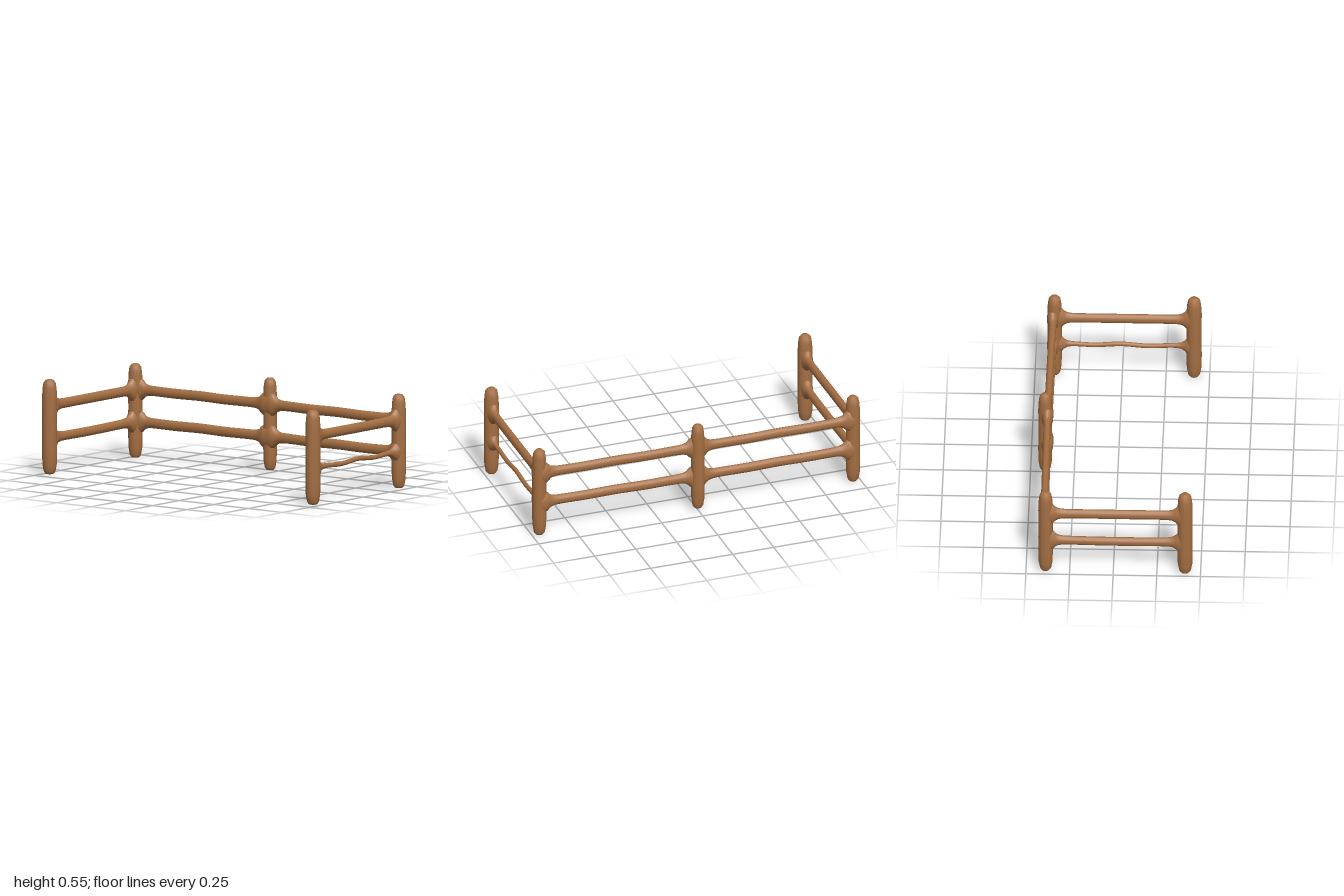
import * as THREE from 'three';

const wood = new THREE.MeshStandardMaterial({ color: 0xa56f43 });
wood.name = 'brownWood';

// Upright post: rounded, blunt-ended lathe
function post(name, x, z, bottom, top, r = 0.042) {
  const profile = [
    [0, bottom], [0.55 * r, bottom + 0.004], [0.78 * r, bottom + 0.018], [0.95 * r, bottom + 0.06],
    [r, bottom + 0.14], [0.98 * r, 0.3], [r, top - 0.11], [0.92 * r, top - 0.05],
    [0.8 * r, top - 0.018], [0.5 * r, top - 0.003], [0, top],
  ].map(([a, b]) => new THREE.Vector2(a, b));
  const mesh = new THREE.Mesh(new THREE.LatheGeometry(profile, 12), wood);
  mesh.position.set(x, 0, z);
  mesh.name = name;
  return mesh;
}

// Rail between two post axes, flaring smoothly into the post at each end
function rail(name, from, to, { ry = 0.029, rx = 0.021, wave = 0.0015, sag = 0 } = {}) {
  const a = new THREE.Vector3(...from), b = new THREE.Vector3(...to);
  const len = a.distanceTo(b);
  const geo = new THREE.CylinderGeometry(1, 1, 1, 14, 36, true);
  geo.rotateX(Math.PI / 2);
  const p = geo.attributes.position;
  for (let i = 0; i < p.count; i++) {
    const t = p.getZ(i) + 0.5;
    const s = (1 - Math.cos(Math.PI * t)) / 2; // rings gather at the ends
    const d = Math.max(0, Math.min(s, 1 - s) * len - 0.04);
    const flare = Math.exp(-d / 0.018);
    const mid = Math.sin(Math.PI * s);
    const bend = wave * Math.sin(s * 15) * mid - sag * mid;
    p.setXYZ(i,
      p.getX(i) * (rx + (0.034 - rx) * flare),
      p.getY(i) * (ry + 0.04 * flare) + bend,
      (s - 0.5) * len);
  }
  geo.computeVertexNormals();
  // Weld the shading across the lengthwise seam
  const n = geo.attributes.normal;
  for (let i = 0; i < p.count; i += 15) {
    const v = new THREE.Vector3().fromBufferAttribute(n, i)
      .add(new THREE.Vector3().fromBufferAttribute(n, i + 14)).normalize();
    n.setXYZ(i, v.x, v.y, v.z);
    n.setXYZ(i + 14, v.x, v.y, v.z);
  }
  const mesh = new THREE.Mesh(geo, wood);
  mesh.position.copy(a).add(b).multiplyScalar(0.5);
  mesh.lookAt(b);
  mesh.name = name;
  return mesh;
}

export function createModel() {
  const fence = new THREE.Group();
  fence.name = 'fence';
  const X = 0.956, upper = 0.402, lower = 0.215;

  fence.add(post('backMiddlePost', 0, -0.416, 0.018, 0.555, 0.04));

  for (const [side, sx] of [['left', 1], ['right', -1]]) {
    const x = sx * X;
    fence.add(post(side + 'FrontPost', x, 0.411, 0.004, 0.555, 0.044));
    fence.add(post(side + 'BackPost', x, -0.388, 0.006, 0.553));

    // Long back rails
    for (const [level, y] of [['Upper', upper], ['Lower', lower]])
      fence.add(rail(side + level + 'BackRail', [0, y, -0.403], [x, y, -0.397]));

    // Side rails; the left lower one is a thin, crooked stick
    fence.add(rail(side + 'UpperSideRail', [x, upper, 0.411], [x, upper, -0.388], { wave: 0 }));
    const style = sx > 0
      ? { ry: 0.014, rx: 0.012, wave: 0.006 }
      : { ry: 0.027, wave: 0, sag: 0.005 };
    fence.add(rail(side + 'LowerSideRail', [x, lower, 0.411], [x, lower + 0.003, -0.388], style));
  }
  return fence;
}
